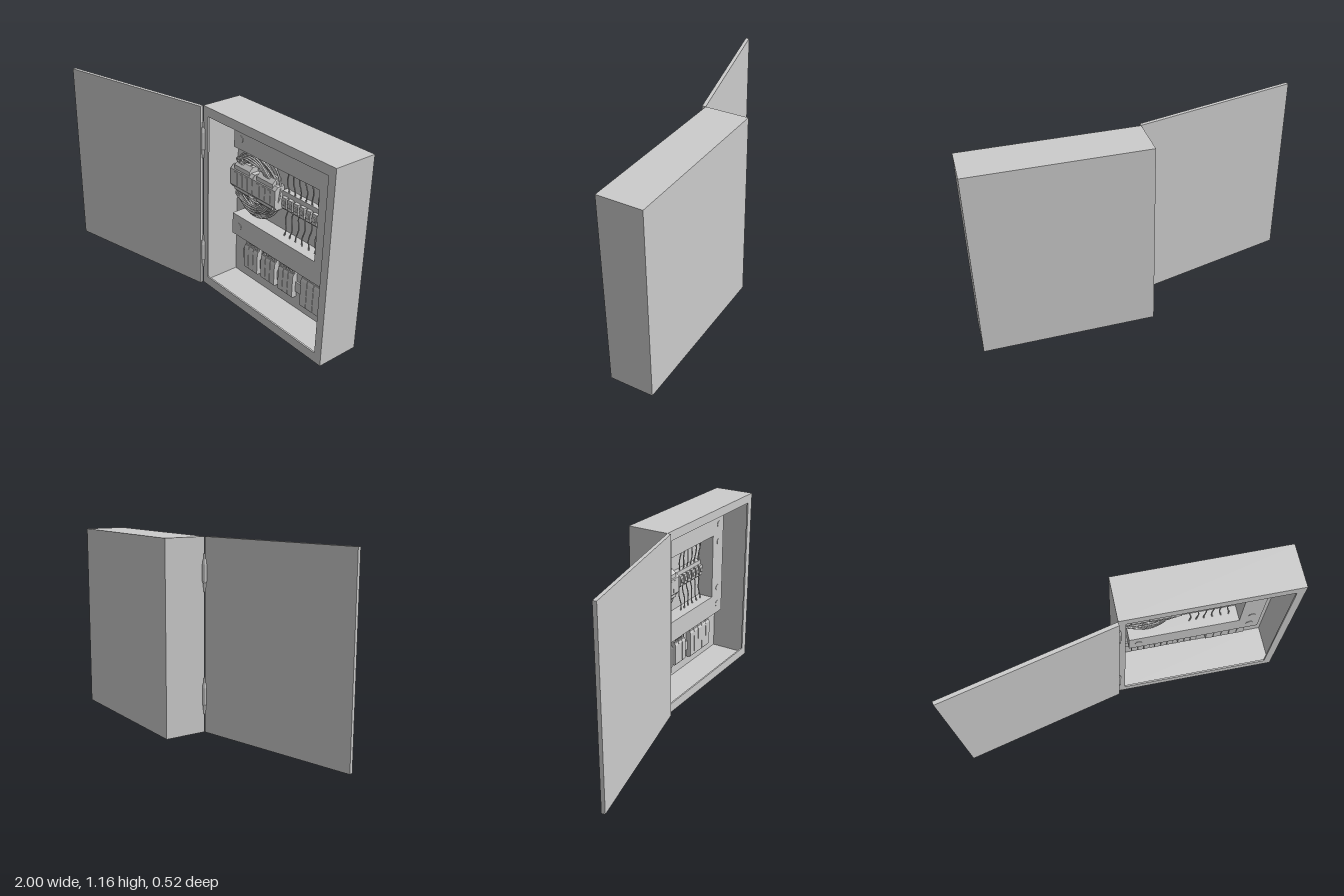
import * as THREE from 'three';

const H = 1.157, BACK = -0.25;
const mat = new THREE.MeshStandardMaterial({ color: 0xcccccc });
const flat = new THREE.MeshStandardMaterial({ color: 0xcccccc, flatShading: true });

export function createModel() {
  const root = new THREE.Group();

  const part = (name) => {
    const g = new THREE.Group();
    g.name = name;
    root.add(g);
    return g;
  };
  const add = (parent, name, geo, m = mat) => {
    const mesh = new THREE.Mesh(geo, m);
    mesh.name = name;
    parent.add(mesh);
    return mesh;
  };
  // box given by its limits on each axis
  const box = (parent, name, x0, x1, y0, y1, z0, z1) => {
    const mesh = add(parent, name, new THREE.BoxGeometry(x1 - x0, y1 - y0, z1 - z0));
    mesh.position.set((x0 + x1) / 2, (y0 + y1) / 2, (z0 + z1) / 2);
    return mesh;
  };
  // side profile of [z, y] points extruded along x
  const prism = (parent, name, profile, x0, x1) => {
    const shape = new THREE.Shape(profile.map(([z, y]) => new THREE.Vector2(z, y)));
    const geo = new THREE.ExtrudeGeometry(shape, { depth: x1 - x0, bevelEnabled: false });
    geo.translate(0, 0, -(x1 - x0) / 2).rotateY(-Math.PI / 2).translate((x0 + x1) / 2, 0, 0);
    return add(parent, name, geo, flat);
  };
  const wire = (parent, pts, r, closed = false, steps = 16) => {
    const curve = new THREE.CatmullRomCurve3(pts.map((p) => new THREE.Vector3(...p)), closed);
    return add(parent, 'wire', new THREE.TubeGeometry(curve, steps, r, 6, closed));
  };

  // cabinet: thin walls and a front lip around the opening
  const cabinet = part('cabinet');
  const X0 = -0.012, X1 = 1, Z0 = -0.26, T = 0.01;
  box(cabinet, 'backWall', X0, X1, 0, H, Z0, BACK);
  box(cabinet, 'leftWall', X1 - T, X1, 0, H, BACK, -T);
  box(cabinet, 'rightWall', X0, X0 + T, 0, H, BACK, -T);
  box(cabinet, 'floor', X0 + T, X1 - T, 0, T, BACK, -T);
  box(cabinet, 'roof', X0 + T, X1 - T, H - T, H, BACK, -T);
  const rect = (S, x0, x1, y0, y1) => new S([[x0, y0], [x1, y0], [x1, y1], [x0, y1]]
    .map(([x, y]) => new THREE.Vector2(x, y)));
  const lip = rect(THREE.Shape, X0, X1, 0, H);
  lip.holes.push(rect(THREE.Path, 0.03, 0.953, 0.058, 1.102));
  add(cabinet, 'frontLip', new THREE.ExtrudeGeometry(lip, { depth: T, bevelEnabled: false })).position.z = -T;

  // open door, swung on the right edge of the cabinet
  const door = part('door');
  const panel = add(door, 'doorPanel', new THREE.BoxGeometry(1.015, H, 0.022).translate(-0.5075, H / 2, 0.011));
  panel.position.set(-0.014, 0, 0.001);
  panel.rotation.y = Math.atan2(0.24, 0.985);

  // stepped hinge barrels
  const hinges = part('hinges');
  const hingeProfile = [[0, -0.11], [0.007, -0.11], [0.007, -0.085], [0.012, -0.085], [0.012, -0.06], [0.017, -0.05],
    [0.017, 0.05], [0.012, 0.08], [0.007, 0.08], [0.007, 0.11], [0, 0.11]].map(([r, y]) => new THREE.Vector2(r, y));
  for (const y of [0.222, 0.95])
    add(hinges, 'hinge', new THREE.LatheGeometry(hingeProfile, 12), flat).position.set(-0.012, y, 0.001);

  // cable ducts with round fixings
  const ducts = part('cableDucts');
  const DZ = -0.147;
  box(ducts, 'upperDuct', 0.083, 0.897, 0.903, 1.037, BACK, DZ);
  box(ducts, 'lowerDuct', 0.083, 0.897, 0.342, 0.477, BACK, DZ);
  box(ducts, 'sideDuct', 0.765, 0.897, 0.477, 0.903, BACK, DZ);
  for (const [x, y] of [[0.139, 0.968], [0.836, 0.968], [0.836, 0.848], [0.836, 0.524], [0.142, 0.409], [0.836, 0.409]]) {
    const cap = add(ducts, 'ductFixing', new THREE.CylinderGeometry(0.021, 0.021, 0.006, 20).rotateX(Math.PI / 2));
    cap.position.set(x, y, DZ);
  }

  // transformers: chamfered bodies with narrower stepped ends
  const transformers = part('transformers');
  for (const x of [0.112, 0.307]) {
    prism(transformers, 'transformerBody', [[BACK, 0.61], [-0.2, 0.61], [-0.18, 0.635], [-0.18, 0.735],
      [-0.2, 0.755], [BACK, 0.755]], x - 0.096, x + 0.096);
    prism(transformers, 'transformerCore', [[BACK, 0.585], [-0.21, 0.585], [-0.185, 0.61], [-0.185, 0.765],
      [-0.21, 0.788], [BACK, 0.788]], x - 0.066, x + 0.066);
    for (const dx of [-0.045, 0, 0.045])
      box(transformers, 'transformerRib', x + dx - 0.012, x + dx + 0.012, 0.645, 0.725, -0.185, -0.177);
  }

  // bundled wire loops around the transformers
  const coils = part('wireLoops');
  for (let i = 0; i < 10; i++) {
    const cx = 0.215 + 0.03 * Math.sin(i * 2.1), cy = 0.69 + 0.012 * Math.cos(i * 1.7);
    const rx = 0.125 + 0.0055 * i, ry = 0.13 + 0.0065 * i;
    const pts = [];
    for (let k = 0; k < 14; k++) {
      const a = (k / 14) * Math.PI * 2;
      pts.push([cx + rx * Math.cos(a), cy + ry * Math.sin(a), -0.22 + 0.014 * Math.sin(a * 2 + i * 1.3)]);
    }
    wire(coils, pts, 0.006, true, 56);
  }
  for (const s of [1, -1])
    for (let i = 0; i < 4; i++) {
      const end = 0.69 + s * 0.085, o = 0.013 * i;
      wire(coils, [[0.07 + o, end, -0.205], [0.045 + o, end + s * 0.025, -0.2], [0.11 + o, end + s * (0.05 + o), -0.196],
        [0.2 + o, end + s * (0.05 + o), -0.192], [0.27 + o, end + s * 0.035, -0.196], [0.29 + o, end, -0.205]], 0.006, false, 28);
    }

  // relay row with wavy wires to both ducts
  const relays = part('relayRow');
  box(relays, 'relayBase', 0.425, 0.725, 0.632, 0.743, BACK, -0.215);
  const wavy = (parent, x, yTop, yBottom, zTop, zBottom, amp, phase) => {
    const pts = [];
    for (let k = 0; k <= 6; k++) {
      const t = k / 6;
      pts.push([x + amp * Math.sin(t * 8 + phase), yTop + (yBottom - yTop) * t, zTop + (zBottom - zTop) * t]);
    }
    wire(parent, pts, 0.004);
  };
  for (let i = 0; i < 6; i++) {
    const x = 0.459 + i * 0.0475;
    box(relays, 'relay', x - 0.017, x + 0.017, 0.65, 0.716, -0.215, -0.195);
    box(relays, 'relayButton', x - 0.012, x + 0.012, 0.672, 0.696, -0.195, -0.188);
    wavy(relays, x + 0.008, 0.91, 0.735, -0.205, -0.222, 0.007, i);
    wavy(relays, x + 0.008, 0.64, 0.47, -0.222, -0.205, 0.007, i + 2);
  }

  // lower rail carrying the terminal blocks
  const terminals = part('terminalBlocks');
  box(terminals, 'mountingRail', 0.08, 0.893, 0.128, 0.193, BACK, -0.24);
  const groups = [[0.115, 0.238, 3, 0.09, 0.267, 5], [0.267, 0.39, 3, 0.09, 0.267, 5],
    [0.42, 0.545, 3, 0.09, 0.267, 5], [0.607, 0.863, 5, 0.075, 0.283, 7]];
  for (const [x0, x1, n, y0, y1, wires] of groups) {
    const w = (x1 - x0) / n;
    for (let i = 0; i < n; i++) {
      const x = x0 + i * w;
      prism(terminals, 'terminalBlock', [[BACK, y0], [-0.222, y0], [-0.215, y0 + 0.012], [-0.215, y1 - 0.035],
        [-0.222, y1 - 0.018], [-0.23, y1 - 0.016], [-0.234, y1], [BACK, y1]], x + 0.0015, x + w - 0.0015);
      box(terminals, 'terminalClip', x + 0.006, x + w - 0.006, y1 - 0.02, y1 - 0.008, -0.234, -0.224);
    }
    for (let i = 0; i < wires; i++)
      wavy(terminals, x0 + (x1 - x0) * (i + 0.5) / wires, 0.35, y1 - 0.01, -0.2, -0.228, 0.005, i * 1.4);
  }

  return root;
}
